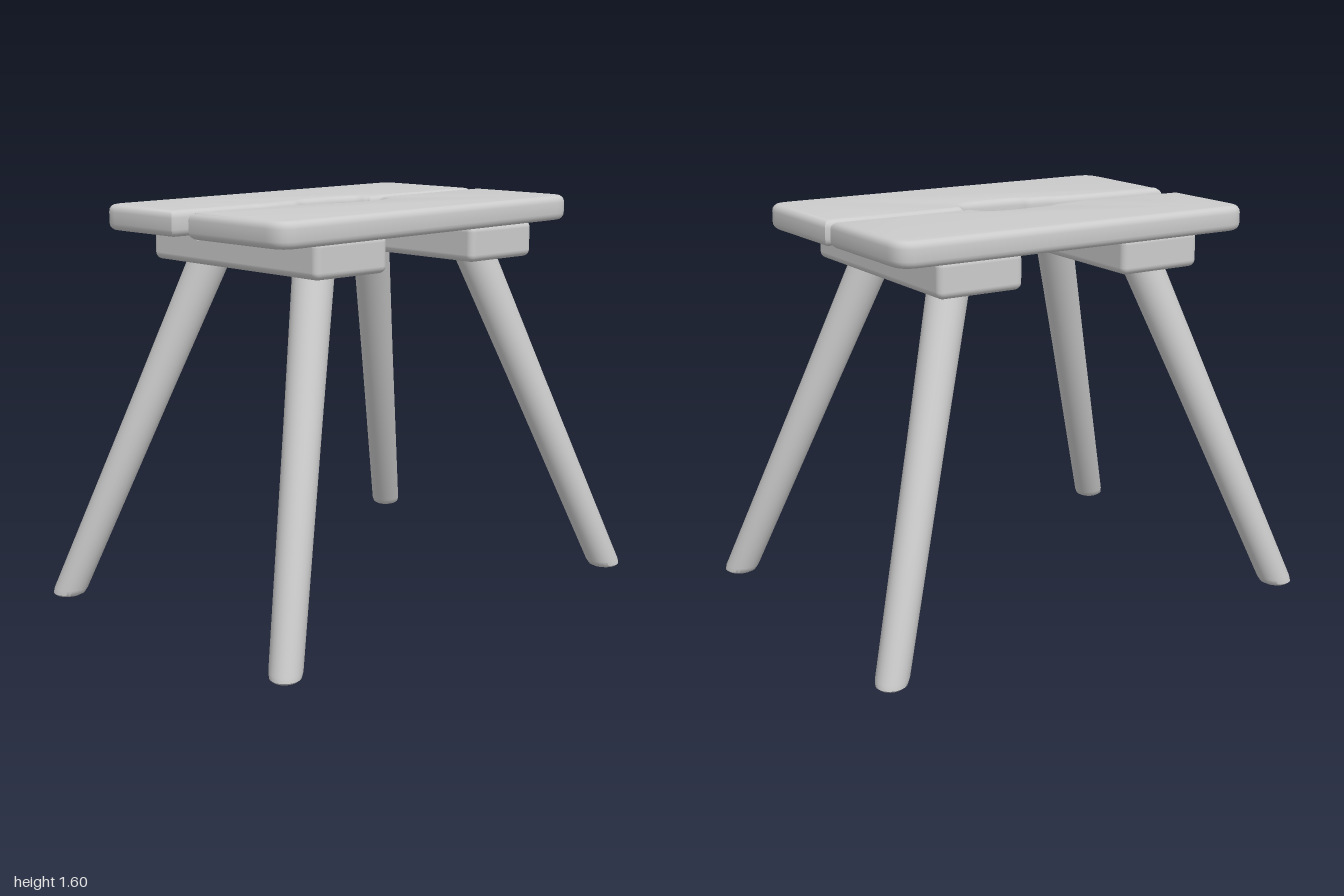
import * as THREE from 'three';
import { toCreasedNormals } from 'three/addons/utils/BufferGeometryUtils.js';
import { RoundedBoxGeometry } from 'three/addons/geometries/RoundedBoxGeometry.js';

const material = new THREE.MeshStandardMaterial({ color: 0xcccccc });

function part(name, geometry) {
  const mesh = new THREE.Mesh(geometry, material);
  mesh.name = name;
  return mesh;
}

// Half of the seat: inner edge listed from left to right as [x, z], outer edge with rounded corners
function plank(name, inner, outerLeft, outerRight) {
  const r = 0.09, bevel = 0.028, thickness = 0.1;
  const pts = inner.map(([x, z]) => new THREE.Vector2(x, -z));
  const [lx, lz] = outerLeft, [rx, rz] = outerRight;
  const s = Math.sign(lz);
  const shape = new THREE.Shape();
  shape.moveTo(pts[0].x, pts[0].y);
  shape.splineThru(pts.slice(1));
  shape.lineTo(rx, -(rz - s * r));
  shape.quadraticCurveTo(rx, -rz, rx - r, -rz);
  shape.lineTo(lx + r, -lz);
  shape.quadraticCurveTo(lx, -lz, lx, -(lz - s * r));
  shape.closePath();
  const geometry = new THREE.ExtrudeGeometry(shape, {
    depth: thickness - 2 * bevel, bevelThickness: bevel, bevelSize: bevel,
    bevelOffset: -bevel, bevelSegments: 4, curveSegments: 6,
  });
  geometry.translate(0, 0, bevel - thickness / 2);
  geometry.rotateX(-Math.PI / 2);
  const mesh = part(name, toCreasedNormals(geometry, 0.8));
  mesh.position.y = 1.545;
  mesh.rotation.z = 0.006;
  return mesh;
}

// Splayed tapered leg, its foot cut level with the floor
function leg(name, foot, top) {
  const a = new THREE.Vector3(...foot), b = new THREE.Vector3(...top);
  const axis = b.clone().sub(a);
  const profile = [[0, 0], [0.046, 0], [0.058, 0.006], [0.062, 0.02], [0.071, 0.6], [0.08, 1]]
    .map(([r, t]) => new THREE.Vector2(r, t * axis.y));
  const geometry = new THREE.LatheGeometry(profile, 24);
  const tilt = new THREE.Quaternion().setFromUnitVectors(
    new THREE.Vector3(0, 1, 0), axis.clone().normalize());
  const pos = geometry.attributes.position, v = new THREE.Vector3();
  for (let i = 0; i < pos.count; i++) {
    const level = pos.getY(i);
    v.set(pos.getX(i), 0, pos.getZ(i)).applyQuaternion(tilt);
    v.addScaledVector(axis, (level - v.y) / axis.y).add(a); // slide along the axis to the ring's level
    pos.setXYZ(i, v.x, v.y, v.z);
  }
  return part(name, toCreasedNormals(geometry, 0.8));
}

export function createModel() {
  const stool = new THREE.Group();
  stool.name = 'stool';

  // Two seat boards with a worn hand hole between them
  stool.add(plank('backSeatBoard', [
    [-0.79, -0.08], [-0.6, -0.072], [-0.42, -0.066], [-0.33, -0.058], [-0.22, -0.072],
    [-0.17, -0.078], [-0.11, -0.1], [0, -0.104], [0.1, -0.1], [0.155, -0.08],
    [0.18, -0.045], [0.22, -0.024], [0.5, -0.022], [0.79, -0.022],
  ], [-0.8, -0.52], [0.785, -0.54]));
  stool.add(plank('frontSeatBoard', [
    [-0.79, 0.022], [-0.6, 0.025], [-0.42, 0.034], [-0.28, 0.05], [-0.23, 0.066],
    [-0.16, 0.072], [-0.11, 0.098], [0, 0.104], [0.1, 0.1], [0.155, 0.08],
    [0.18, 0.045], [0.22, 0.008], [0.5, 0.004], [0.8, 0.002],
  ], [-0.785, 0.54], [0.805, 0.52]));

  // Cross battens under the seat
  for (const [name, x] of [['rightBatten', -0.4], ['leftBatten', 0.415]]) {
    const batten = part(name, new RoundedBoxGeometry(0.36, 0.145, 0.975, 4, 0.028));
    batten.position.set(x, 1.435, 0.003);
    stool.add(batten);
  }

  // Four legs
  stool.add(
    leg('frontLeftLeg', [0.935, 0.02, 0.65], [0.433, 1.41, 0.3]),
    leg('frontRightLeg', [-0.91, 0.005, 0.685], [-0.425, 1.41, 0.305]),
    leg('backLeftLeg', [0.93, 0.03, -0.685], [0.433, 1.41, -0.285]),
    leg('backRightLeg', [-0.935, 0, -0.64], [-0.425, 1.41, -0.29]),
  );
  return stool;
}
